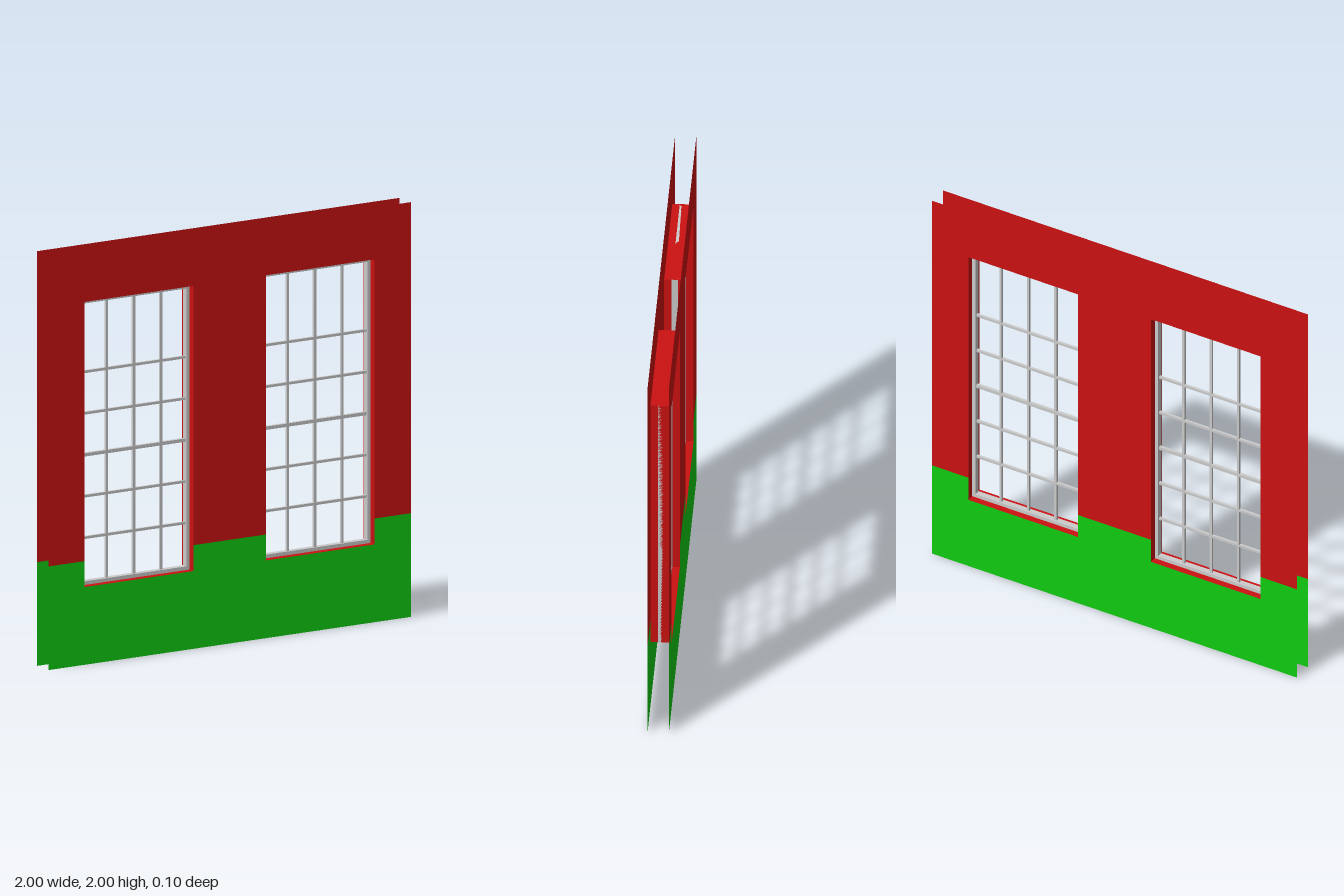
import * as THREE from 'three';

const BOTTOM = 0.375, TOP = 1.75, SPLIT = 0.5, HALF = 0.3, DEPTH = 0.1;
const CENTRES = [-0.5, 0.5];

const paint = (color) => new THREE.MeshStandardMaterial({ color, side: THREE.DoubleSide });
const red = paint(0xcc1111), green = paint(0x11cc11);
const grey = new THREE.MeshStandardMaterial({ color: 0xcccccc });

function add(parent, name, geometry, material, x = 0, y = 0, z = 0) {
  const mesh = new THREE.Mesh(geometry, material);
  mesh.name = name;
  mesh.position.set(x, y, z);
  parent.add(mesh);
  return mesh;
}

// Wall band from the split line to outerY, notched to innerY at each window
function bandGeometry(outerY, innerY) {
  const points = [[-1, outerY], [-1, SPLIT]];
  for (const c of CENTRES) {
    points.push([c - HALF, SPLIT], [c - HALF, innerY], [c + HALF, innerY], [c + HALF, SPLIT]);
  }
  points.push([1, SPLIT], [1, outerY]);
  return new THREE.ShapeGeometry(new THREE.Shape(points.map(([x, y]) => new THREE.Vector2(x, y))));
}

// One thin wall face: red above, green below
function wallFace(name) {
  const face = new THREE.Group();
  face.name = name;
  add(face, 'upperWall', bandGeometry(2, TOP), red);
  add(face, 'lowerWall', bandGeometry(0, BOTTOM), green);
  return face;
}

// Four thin planes lining the opening between the wall faces
function makeReveal() {
  const reveal = new THREE.Group();
  reveal.name = 'windowReveal';
  const height = TOP - BOTTOM, middle = (TOP + BOTTOM) / 2;
  for (const s of [-1, 1]) {
    const jamb = add(reveal, 'jamb', new THREE.PlaneGeometry(DEPTH, height), red, s * HALF, middle, 0);
    jamb.rotation.y = -s * Math.PI / 2;
    const level = add(reveal, s > 0 ? 'lintel' : 'sill', new THREE.PlaneGeometry(2 * HALF, DEPTH), red,
      0, middle + s * height / 2, 0);
    level.rotation.x = s * Math.PI / 2;
  }
  return reveal;
}

// Frame with glazing bars
function makeWindow() {
  const win = new THREE.Group();
  win.name = 'windowFrame';
  const f = 0.0175, frameDepth = 0.03, bar = 0.0125;
  const height = TOP - BOTTOM, middle = (TOP + BOTTOM) / 2;
  for (const s of [-1, 1]) {
    add(win, 'frameSide', new THREE.BoxGeometry(f, height, frameDepth), grey, s * (HALF - f / 2), middle, 0);
    add(win, s > 0 ? 'frameTop' : 'frameBottom', new THREE.BoxGeometry(2 * (HALF - f), f, frameDepth), grey,
      0, middle + s * (height - f) / 2, 0);
  }
  for (const x of [-0.15, 0, 0.15]) {
    add(win, 'verticalBar', new THREE.BoxGeometry(bar, height - 2 * f, bar), grey, x, middle, 0);
  }
  for (const y of [0.6, 0.8, 1, 1.2, 1.4]) {
    const thickness = y === 1 ? 0.016 : bar;
    add(win, 'horizontalBar', new THREE.BoxGeometry(2 * (HALF - f), thickness, thickness), grey, 0, y, 0);
  }
  return win;
}

export function createModel() {
  const model = new THREE.Group();
  model.name = 'wallWithWindows';

  const front = wallFace('frontWall');
  front.position.z = DEPTH / 2;
  const back = wallFace('backWall');
  back.position.z = -DEPTH / 2;
  back.rotation.y = Math.PI;
  model.add(front, back);

  for (const c of CENTRES) {
    const unit = new THREE.Group();
    unit.name = c > 0 ? 'leftWindow' : 'rightWindow';
    unit.add(makeReveal(), makeWindow());
    unit.position.x = c;
    model.add(unit);
  }
  return model;
}
